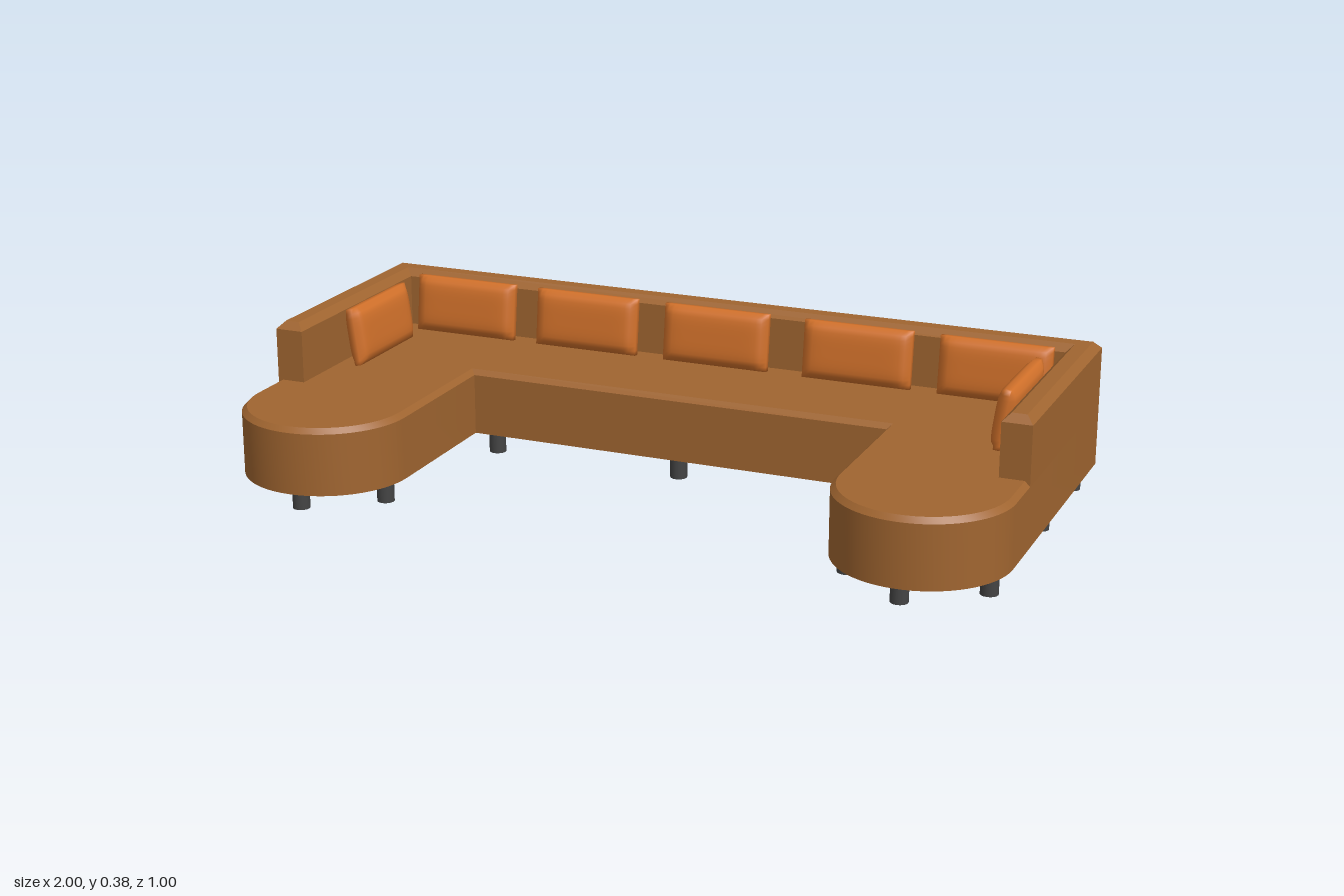
import * as THREE from 'three';
import { mergeVertices, toCreasedNormals } from 'three/addons/utils/BufferGeometryUtils.js';

const fabric = new THREE.MeshStandardMaterial({ color: 0xa06530 });
const cushionFabric = new THREE.MeshStandardMaterial({ color: 0xd0702a });
const legMaterial = new THREE.MeshStandardMaterial({ color: 0x444444 });

// Plan shape raised from y0 to y1: chamfered top edge, straight sides, flat underside
function chamferedSlab(shape, y0, y1, chamfer) {
  const geo = new THREE.ExtrudeGeometry(shape, {
    depth: y1 - y0 - chamfer, curveSegments: 16, bevelSegments: 1,
    bevelThickness: chamfer, bevelSize: chamfer, bevelOffset: -chamfer,
  });
  const p = geo.attributes.position;
  for (let i = 0; i < p.count; i++) p.setZ(i, Math.max(0, p.getZ(i)));
  geo.rotateX(-Math.PI / 2).translate(0, y0, 0);
  return toCreasedNormals(geo, 0.5);
}

// Soft pillow: a box whose thickness swells away from its seams
function pillowGeometry(w, h, t) {
  const geo = new THREE.BoxGeometry(w, h, 1, 20, 12, 1);
  const p = geo.attributes.position;
  for (let i = 0; i < p.count; i++) {
    const u = Math.abs(p.getX(i)) / (w / 2), v = Math.abs(p.getY(i)) / (h / 2);
    const swell = Math.sqrt(Math.max(0, (1 - u ** 8) * (1 - v ** 4)));
    p.setZ(i, Math.sign(p.getZ(i)) * (t / 2) * (0.3 + 0.7 * swell));
  }
  geo.deleteAttribute('uv');
  geo.deleteAttribute('normal');
  const merged = mergeVertices(geo);
  merged.computeVertexNormals();
  return merged;
}

export function createModel() {
  const model = new THREE.Group();
  const add = (name, geo, mat, x = 0, y = 0, z = 0) => {
    const mesh = new THREE.Mesh(geo, mat);
    mesh.name = name;
    mesh.position.set(x, y, z);
    model.add(mesh);
    return mesh;
  };

  // U-shaped seat with round-ended arms (shape y is -z)
  const inner = 0.567, mid = (1 + inner) / 2, r = (1 - inner) / 2, arcZ = 0.5 - r;
  const seat = new THREE.Shape();
  seat.moveTo(-1, 0.5);
  seat.lineTo(-1, -arcZ);
  seat.absarc(-mid, -arcZ, r, Math.PI, Math.PI * 2, false);
  seat.lineTo(-inner, 0.1);
  seat.lineTo(inner, 0.1);
  seat.lineTo(inner, -arcZ);
  seat.absarc(mid, -arcZ, r, Math.PI, Math.PI * 2, false);
  seat.lineTo(1, 0.5);
  seat.closePath();
  add('seatBase', chamferedSlab(seat, 0.055, 0.228, 0.013), fabric);

  // Low wall around the back and both sides
  const t = 0.075, end = -0.165;
  const wall = new THREE.Shape([
    [-1, 0.5], [-1, end], [-1 + t, end], [-1 + t, 0.5 - t],
    [1 - t, 0.5 - t], [1 - t, end], [1, end], [1, 0.5],
  ].map(([x, y]) => new THREE.Vector2(x, y)));
  add('backrest', chamferedSlab(wall, 0.214, 0.383, 0.019), fabric);

  // Loose cushions leaning on the back and side walls
  const pillow = pillowGeometry(0.292, 0.152, 0.054);
  for (const x of [-0.737, -0.375, -0.002, 0.39, 0.755]) {
    add('backCushion', pillow, cushionFabric, x, 0.304, -0.396).rotation.x = -0.12;
  }
  for (const s of [-1, 1]) {
    const cushion = add('sideCushion', pillow, cushionFabric, s * 0.878, 0.304, -0.16);
    cushion.rotation.order = 'YXZ';
    cushion.rotation.set(-0.14, -s * Math.PI / 2, 0);
  }

  // Short round legs
  const leg = new THREE.CylinderGeometry(0.022, 0.022, 0.057, 16);
  const mirrored = [
    [0.955, -0.445], [0.52, -0.445], [0.955, -0.135], [0.52, -0.135],
    [0.955, 0.315], [0.78, 0.44], [0.61, 0.315],
  ];
  const spots = [[0, -0.445], [0, -0.135], ...mirrored.flatMap(([x, z]) => [[x, z], [-x, z]])];
  for (const [x, z] of spots) add('leg', leg, legMaterial, x, 0.0285, z);

  return model;
}
